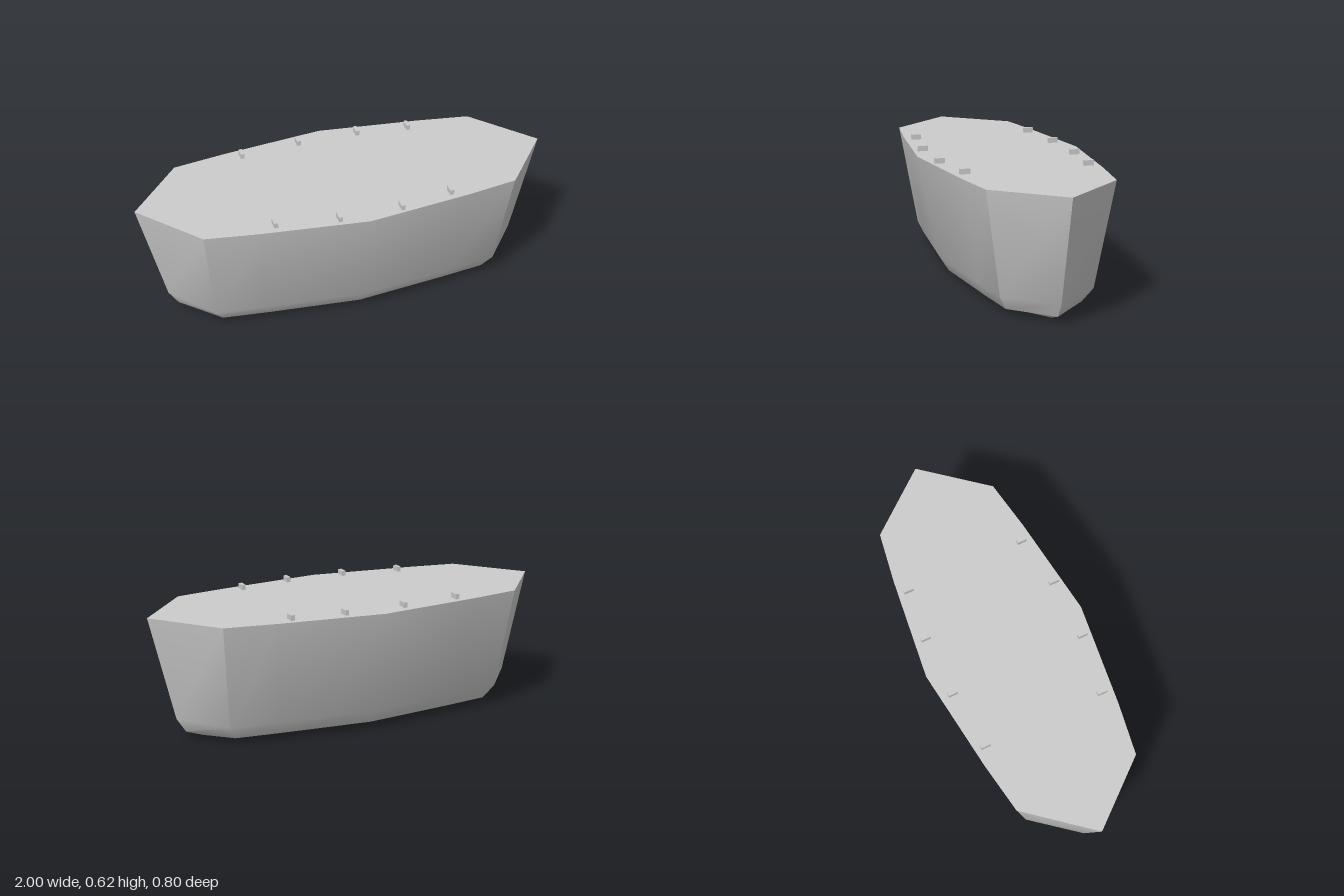
import * as THREE from 'three';
import { toCreasedNormals } from 'three/addons/utils/BufferGeometryUtils.js';

// Waterline sections from keel to deck:
// height, bow tip x, corner x and z, shoulder x and z, midship z
const SECTIONS = [
  [0.00, 0.75, 0.60, 0.105, 0.40, 0.132, 0.172],
  [0.03, 0.835, 0.66, 0.180, 0.44, 0.207, 0.252],
  [0.10, 0.88, 0.70, 0.220, 0.46, 0.250, 0.296],
  [0.60, 1.00, 0.75, 0.300, 0.50, 0.340, 0.400],
];

// Closed outline, counter-clockwise seen from above
function ring([y, tip, cx, cz, sx, sz, mid]) {
  const half = [[tip, 0], [cx, -cz], [sx, -sz], [0, -mid], [-sx, -sz], [-cx, -cz]];
  return [...half, ...half.map(([x, z]) => [-x, -z])].map(([x, z]) => [x, y, z]);
}

// Skin the sections and close both ends with flat caps
function hullGeometry() {
  const rings = SECTIONS.map(ring);
  const n = rings[0].length;
  const top = rings.length - 1;
  const positions = [...rings.flat(2), 0, SECTIONS[0][0], 0, 0, SECTIONS[top][0], 0];
  const bottomCentre = n * rings.length;
  const index = [];
  for (let i = 0; i < n; i++) {
    const j = (i + 1) % n;
    for (let r = 0; r < top; r++) {
      const a = r * n + i, b = r * n + j;
      index.push(a, b, b + n, a, b + n, a + n);
    }
    index.push(bottomCentre, j, i);
    index.push(bottomCentre + 1, top * n + i, top * n + j);
  }
  const geometry = new THREE.BufferGeometry();
  geometry.setAttribute('position', new THREE.Float32BufferAttribute(positions, 3));
  geometry.setIndex(index);
  return toCreasedNormals(geometry, THREE.MathUtils.degToRad(30));
}

export function createModel() {
  const model = new THREE.Group();
  model.name = 'boatHull';
  const material = new THREE.MeshStandardMaterial({ color: 0xcccccc });

  const hull = new THREE.Mesh(hullGeometry(), material);
  hull.name = 'hull';
  model.add(hull);

  // Small cleats along both deck edges: x, front z, back z
  const cleats = new THREE.Group();
  cleats.name = 'deckCleats';
  const cleatGeometry = new THREE.BoxGeometry(0.018, 0.025, 0.047);
  for (const [x, front, back] of [
    [-0.42, 0.295, -0.297], [-0.13, 0.34, -0.325],
    [0.17, 0.34, -0.325], [0.425, 0.295, -0.297],
  ]) {
    for (const z of [front, back]) {
      const cleat = new THREE.Mesh(cleatGeometry, material);
      cleat.name = 'cleat';
      cleat.position.set(x, 0.6125, z);
      cleats.add(cleat);
    }
  }
  model.add(cleats);
  return model;
}
